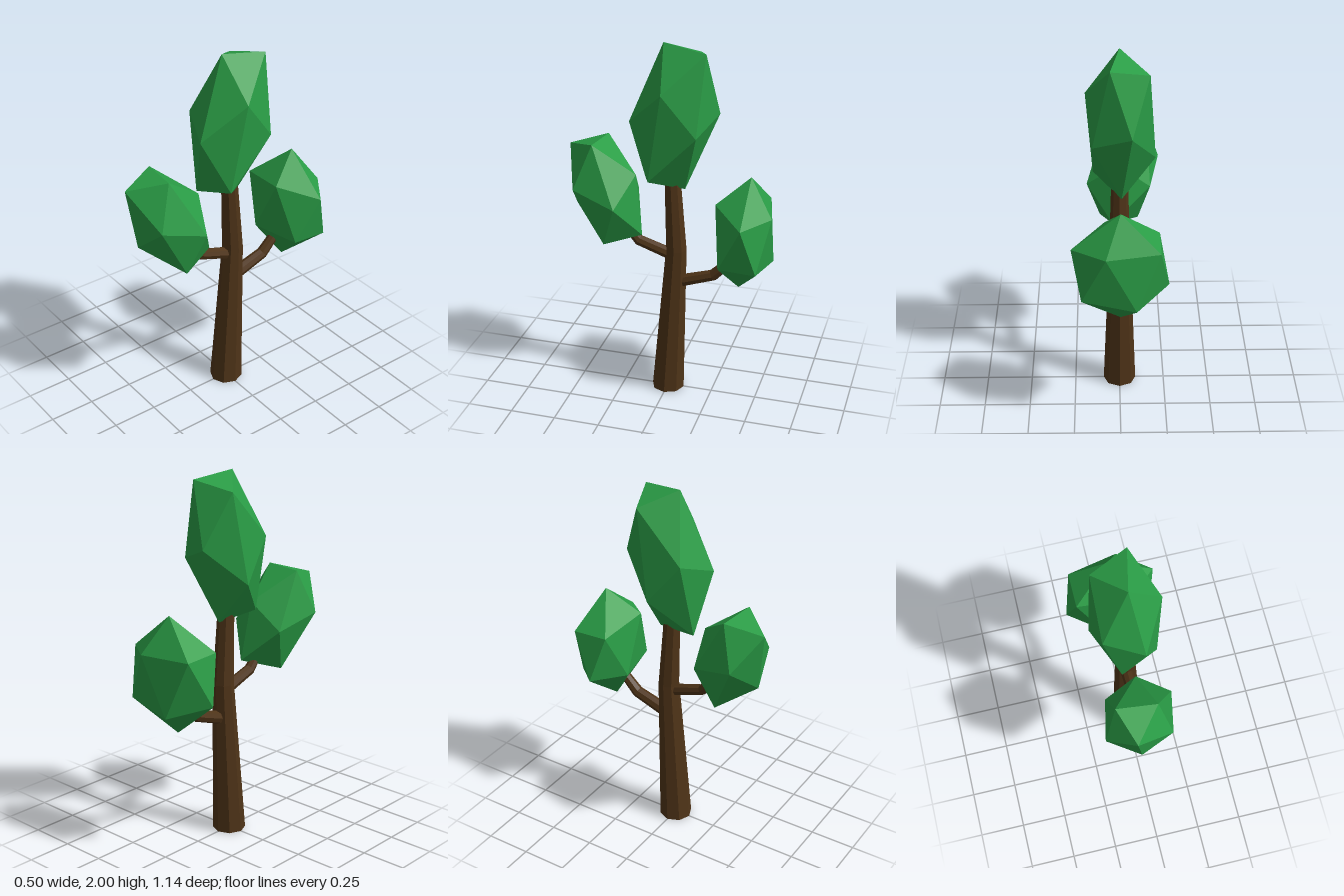
import * as THREE from 'three';
import { ConvexGeometry } from 'three/addons/geometries/ConvexGeometry.js';

const bark = new THREE.MeshStandardMaterial({ color: 0x4f3418, flatShading: true });
const leaf = new THREE.MeshStandardMaterial({ color: 0x2a9d46, flatShading: true });

// Tapered faceted limb in the x = 0 plane; each ring is [y, z, radius].
function limb(name, rings, sides, level = false) {
  const pts = rings.map(([y, z]) => new THREE.Vector3(0, y, z));
  const xAxis = new THREE.Vector3(1, 0, 0);
  const pos = [], idx = [];
  pts.forEach((p, k) => {
    const t = level ? new THREE.Vector3(0, 1, 0)
      : pts[Math.min(k + 1, pts.length - 1)].clone().sub(pts[Math.max(k - 1, 0)]).normalize();
    const n = xAxis.clone().cross(t);
    for (let i = 0; i < sides; i++) {
      const a = (i / sides) * Math.PI * 2, r = rings[k][2];
      const v = p.clone().addScaledVector(xAxis, r * Math.cos(a)).addScaledVector(n, r * Math.sin(a));
      pos.push(v.x, v.y, v.z);
    }
  });
  const last = (pts.length - 1) * sides;
  for (let i = 0; i < sides; i++) {
    const j = (i + 1) % sides;
    for (let k = 0; k < last; k += sides) {
      idx.push(k + i, k + sides + i, k + j, k + j, k + sides + i, k + sides + j);
    }
    // End caps as fans
    if (i > 0 && i < sides - 1) idx.push(0, i, j, last, last + j, last + i);
  }
  const g = new THREE.BufferGeometry();
  g.setAttribute('position', new THREE.Float32BufferAttribute(pos, 3));
  g.setIndex(idx);
  const flat = g.toNonIndexed();
  flat.computeVertexNormals();
  const mesh = new THREE.Mesh(flat, bark);
  mesh.name = name;
  return mesh;
}

// Stretched twenty-sided crown: six corners, each mirrored through the centre.
function crown(name, centre, corners) {
  const c = new THREE.Vector3(...centre);
  const pts = corners.flatMap((p) => {
    const v = new THREE.Vector3(...p);
    return [v, c.clone().multiplyScalar(2).sub(v)];
  });
  const mesh = new THREE.Mesh(new ConvexGeometry(pts), leaf);
  mesh.name = name;
  return mesh;
}

export function createModel() {
  const tree = new THREE.Group();
  tree.name = 'tree';
  tree.add(
    // Trunk and side branches
    limb('trunk', [[0, 0, 0.09], [0.86, -0.045, 0.057], [1.3, -0.022, 0.043]], 8, true),
    limb('frontBranch', [[0.82, -0.03, 0.033], [0.885, 0.165, 0.03], [0.97, 0.24, 0.024]], 8),
    limb('backBranch', [[0.665, -0.05, 0.036], [0.73, -0.25, 0.032], [0.85, -0.37, 0.025]], 8),
    // Leaf crowns
    crown('topCrown', [-0.005, 1.605, -0.032], [
      [0, 2, 0.025], [0.05, 1.97, -0.21], [-0.06, 1.63, -0.26],
      [0.175, 1.775, -0.008], [0.14, 1.55, -0.183], [-0.15, 1.92, -0.135],
    ]),
    crown('frontCrown', [-0.022, 1.155, 0.353], [
      [-0.08, 1.375, 0.57], [0.062, 1.43, 0.4], [-0.15, 1.425, 0.375],
      [0.002, 1.265, 0.178], [0.125, 1.19, 0.49], [-0.22, 1.19, 0.455],
    ]),
    crown('backCrown', [0, 1, -0.418], [
      [0, 1.322, -0.445], [0.25, 1.12, -0.445], [0.075, 1.13, -0.573],
      [0.08, 1.18, -0.275], [-0.2, 1.13, -0.515], [-0.2, 1.14, -0.315],
    ]),
  );
  return tree;
}
